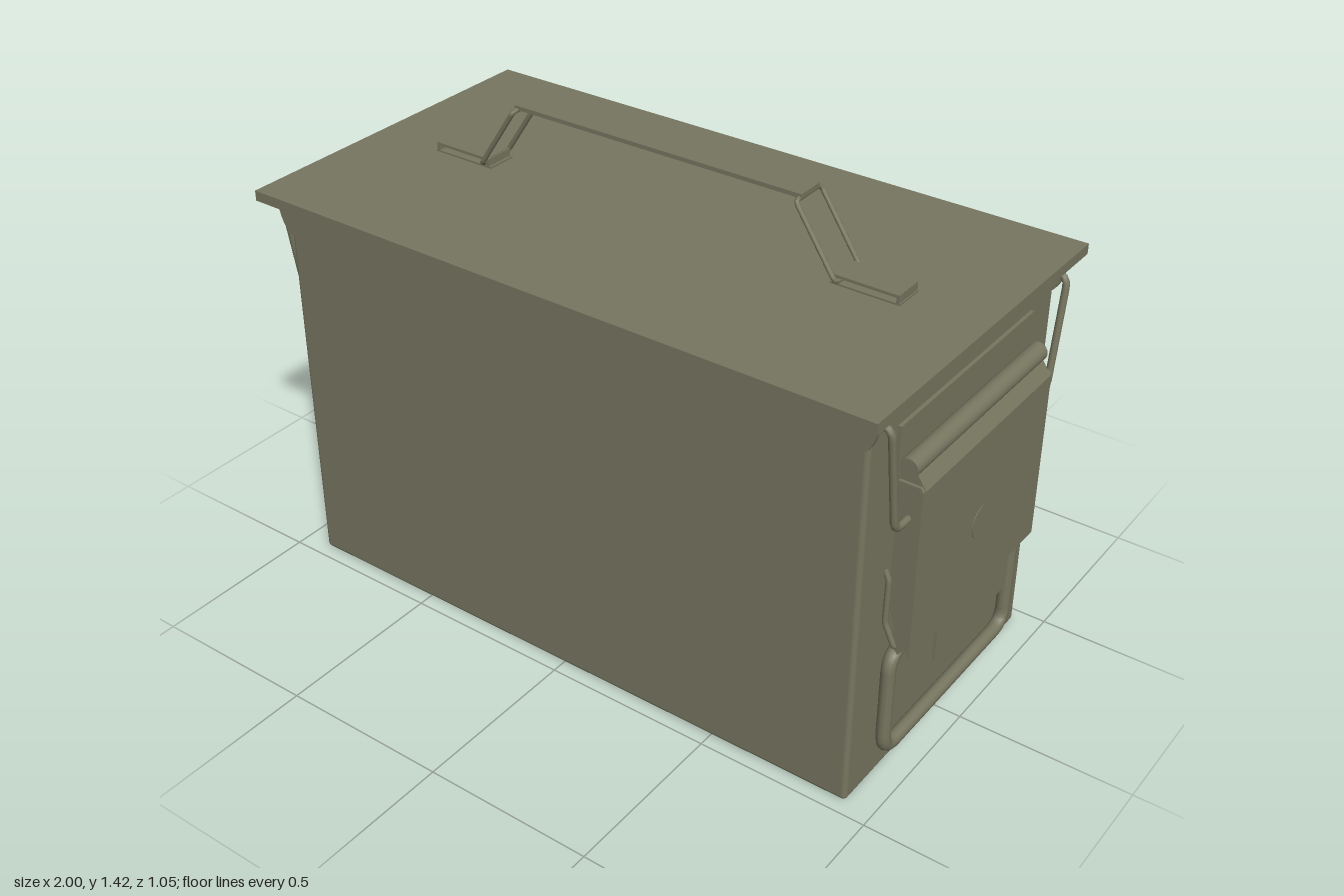
import * as THREE from 'three';
import { RoundedBoxGeometry } from 'three/addons/geometries/RoundedBoxGeometry.js';

const olive = new THREE.MeshStandardMaterial({ color: 0x777660 });
olive.name = 'olive paint';
const V = (x, y, z) => new THREE.Vector3(x, y, z);

function add(parent, name, geometry, x = 0, y = 0, z = 0) {
  const mesh = new THREE.Mesh(geometry, olive);
  mesh.name = name;
  mesh.position.set(x, y, z);
  parent.add(mesh);
  return mesh;
}

const box = (w, h, d) => new THREE.BoxGeometry(w, h, d);

function sheet(points, depth) {
  const shape = new THREE.Shape(points.map(([x, y]) => new THREE.Vector2(x, y)));
  return new THREE.ExtrudeGeometry(shape, { depth, bevelEnabled: false });
}

// Round wire along straight runs with bent corners
function wire(points, radius, bend, closed, segments = 96) {
  const path = new THREE.CurvePath();
  const n = points.length;
  const toward = (a, b) => a.clone().add(b.clone().sub(a).setLength(bend));
  let from = closed ? toward(points[0], points[1]) : points[0];
  for (let i = 1; i < n + (closed ? 1 : -1); i++) {
    const p = points[i % n];
    const a = toward(p, points[i - 1]);
    const b = toward(p, points[(i + 1) % n]);
    path.add(new THREE.LineCurve3(from, a));
    path.add(new THREE.QuadraticBezierCurve3(a, p, b));
    from = b;
  }
  if (!closed) path.add(new THREE.LineCurve3(from, points[n - 1]));
  return new THREE.TubeGeometry(path, segments, radius, 10, closed);
}

// Everything mounted on one end wall
function makeEnd(name) {
  const end = new THREE.Group();
  end.name = name;

  // Lid skirt and the hinge plate below it
  add(end, 'endSkirt', box(0.02, 0.06, 0.88), 0.93, 1.15);
  add(end, 'hingePlate', box(0.012, 0.14, 0.665), 0.924, 1.01);

  // Latch: rolled top, cover with lower tab, side flanges
  const roll = add(end, 'latchRoll', new THREE.CylinderGeometry(0.027, 0.027, 0.66, 16), 0.954, 0.973);
  roll.rotation.x = Math.PI / 2;
  const neck = add(end, 'latchNeck', sheet(
    [[0.925, 0.96], [0.974, 0.96], [1, 0.92], [0.925, 0.91]], 0.64), 0, 0, -0.32);
  neck.name = 'latchNeck';
  const cover = add(end, 'latchCover', sheet(
    [[-0.33, 0.92], [0.33, 0.92], [0.33, 0.42], [0.185, 0.42], [0.185, 0.32],
      [-0.185, 0.32], [-0.185, 0.42], [-0.33, 0.42]], 0.008), 0.99);
  cover.rotation.y = Math.PI / 2;
  const boss = add(end, 'latchBoss', new THREE.CylinderGeometry(0.048, 0.048, 0.006, 12), 0.997, 0.65);
  boss.rotation.z = -Math.PI / 2;

  for (const s of [1, -1]) {
    add(end, 'latchFlange', sheet(
      [[0.93, 0.93], [0.99, 0.93], [0.998, 0.92], [0.998, 0.46], [0.965, 0.42],
        [0.95, 0.44], [0.95, 0.5], [0.93, 0.56]], 0.012), 0, 0, s * 0.323 - 0.006);
    // Pivot link at the side of the latch
    add(end, 'latchLink', wire(
      [V(0.917, 0.67, s * 0.336), V(0.93, 0.64, s * 0.336), V(0.928, 0.51, s * 0.336),
        V(0.955, 0.44, s * 0.33), V(0.955, 0.43, s * 0.3)], 0.008, 0.008, false, 32));
  }

  // Bail that pulls the lid down
  add(end, 'latchBail', wire(
    [V(0.925, 1.145, 0.44), V(0.963, 1.145, 0.44), V(0.963, 0.833, 0.392),
      V(0.963, 0.833, -0.392), V(0.963, 1.145, -0.44), V(0.925, 1.145, -0.44)],
    0.01, 0.03, false));

  // Carrying loop
  add(end, 'carryLoop', wire(
    [V(0.943, 0.405, 0.325), V(0.943, 0.09, 0.325), V(0.943, 0.09, -0.325), V(0.943, 0.405, -0.325)],
    0.02, 0.055, true, 120));
  return end;
}

export function createModel() {
  const model = new THREE.Group();
  model.name = 'metalBox';

  // Body and lid
  add(model, 'body', new RoundedBoxGeometry(1.84, 1.18, 0.92, 3, 0.014), 0, 0.59);
  add(model, 'lid', box(1.945, 0.03, 1.05), 0, 1.19);

  // Long skirts with rounded lower corners
  const skirt = new THREE.Shape();
  skirt.moveTo(-0.95, 1.178);
  skirt.bezierCurveTo(-0.94, 1.09, -0.92, 1.06, -0.85, 1.06);
  skirt.lineTo(0.85, 1.06);
  skirt.bezierCurveTo(0.92, 1.06, 0.94, 1.09, 0.95, 1.178);
  for (const z of [0.459, -0.473]) {
    add(model, 'longSkirt', new THREE.ExtrudeGeometry(skirt, { depth: 0.014, bevelEnabled: false }), 0, 0, z);
  }

  // Folding top handle: strap, wire legs and lid clips
  const handle = new THREE.Group();
  handle.name = 'topHandle';
  model.add(handle);
  add(handle, 'handleStrap', box(0.91, 0.012, 0.084), 0, 1.412);
  for (const s of [1, -1]) {
    add(handle, 'handleLeg', wire(
      [V(s * 0.448, 1.405, 0.057), V(s * 0.572, 1.218, 0.057),
        V(s * 0.572, 1.218, -0.057), V(s * 0.448, 1.405, -0.057)], 0.007, 0.014, true, 64));
    add(handle, 'clipTop', box(0.185, 0.008, 0.09), s * 0.652, 1.229);
    add(handle, 'clipEnd', box(0.008, 0.028, 0.09), s * 0.741, 1.217);
    add(handle, 'clipCurl', box(0.008, 0.028, 0.09), s * 0.56, 1.217);
    add(handle, 'clipBase', box(0.2, 0.006, 0.09), s * 0.648, 1.207);
  }

  // Matching hardware on both ends
  const right = makeEnd('leftEndHardware');
  const left = makeEnd('rightEndHardware');
  left.rotation.y = Math.PI;
  model.add(right, left);
  return model;
}
